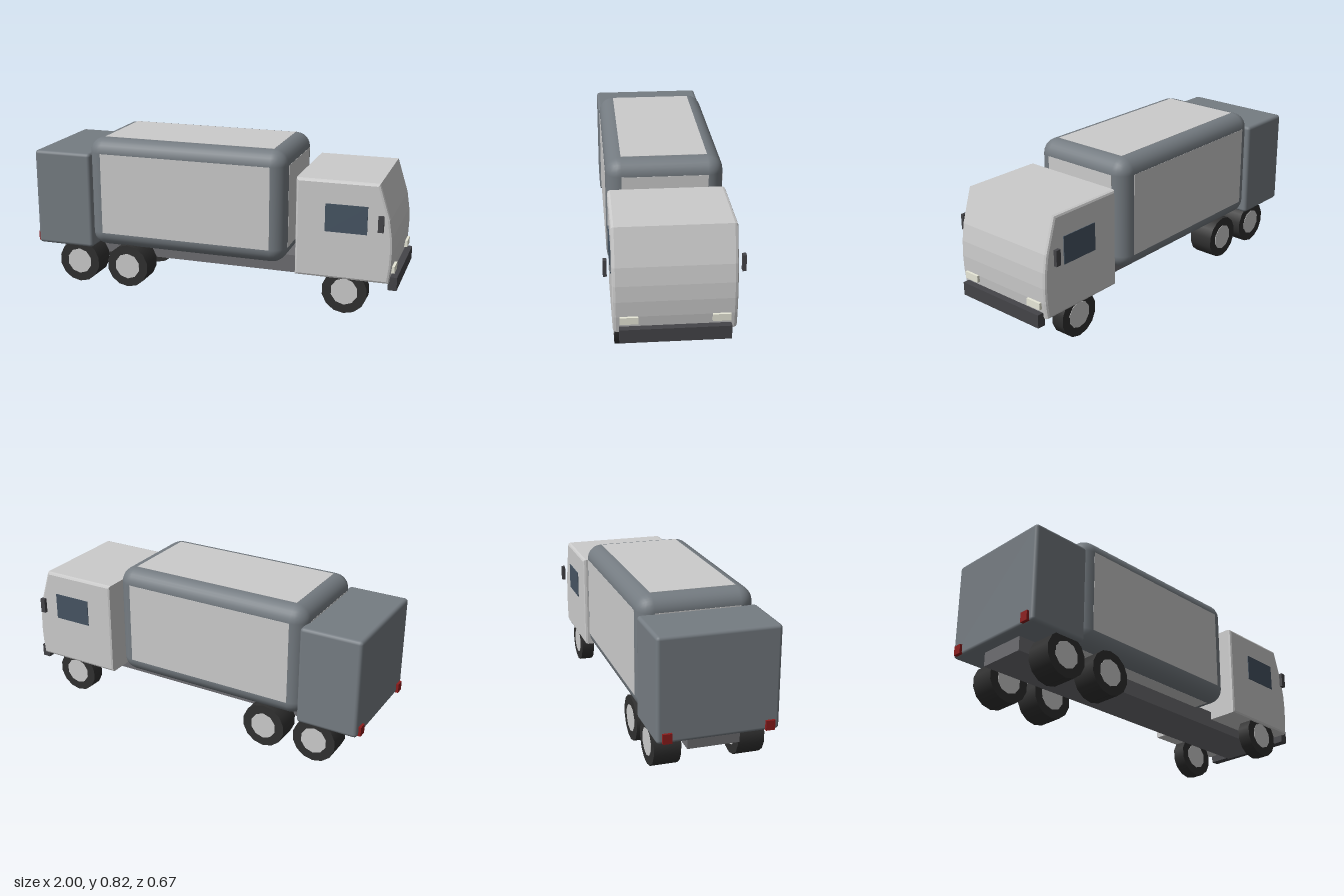
import * as THREE from 'three';
import { RoundedBoxGeometry } from 'three/addons/geometries/RoundedBoxGeometry.js';

const material = (color) => new THREE.MeshStandardMaterial({ color });

export function createModel() {
  const truck = new THREE.Group();
  truck.name = 'truck';

  const light = material(0xcccccc);
  const slate = material(0x757c82);
  const steel = material(0x6c6c70);
  const dark = material(0x444448);
  const rubber = material(0x303030);
  const glass = material(0x465462);
  const lamp = material(0xe8e8d8);
  const red = material(0x8c1c1c);

  function add(name, geometry, mat, x = 0, y = 0, z = 0) {
    const mesh = new THREE.Mesh(geometry, mat);
    mesh.name = name;
    mesh.position.set(x, y, z);
    truck.add(mesh);
    return mesh;
  }

  // Box given by its limits on each axis
  function box(name, mat, [x0, x1], [y0, y1], [z0, z1], radius = 0, segments = 3) {
    const size = [x1 - x0, y1 - y0, z1 - z0];
    const geometry = radius
      ? new RoundedBoxGeometry(...size, segments, radius)
      : new THREE.BoxGeometry(...size);
    return add(name, geometry, mat, (x0 + x1) / 2, (y0 + y1) / 2, (z0 + z1) / 2);
  }

  // The same box on the left and right of the truck
  function pair(name, mat, xs, ys, [z0, z1]) {
    box(name + 'Right', mat, xs, ys, [z0, z1]);
    box(name + 'Left', mat, xs, ys, [-z1, -z0]);
  }

  // Chassis
  box('chassis', steel, [-0.92, 0.95], [0.135, 0.23], [-0.132, 0.132]);

  // Cargo body with rounded edges and pale flat panels on every face
  const X = [-0.68, 0.42], Y = [0.22, 0.82], Z = [-0.298, 0.298];
  const inset = ([a, b]) => [a + 0.08, b - 0.08];
  const proud = ([a, b]) => [a - 0.001, b + 0.001];
  box('cargoBody', slate, X, Y, Z, 0.08);
  box('sidePanels', light, inset(X), inset(Y), proud(Z));
  box('topPanels', light, inset(X), proud(Y), inset(Z));
  box('endPanels', light, proud(X), inset(Y), inset(Z));

  // Rear loading hopper
  box('rearHopper', slate, [-0.987, -0.66], [0.21, 0.735], [-0.305, 0.305], 0.018, 2);

  // Cab: side profile extruded across the width with a small bevel
  const profile = new THREE.Shape([
    [0.476, 0.185], [0.961, 0.185], [0.972, 0.27], [0.975, 0.35],
    [0.971, 0.43], [0.957, 0.52], [0.9, 0.7], [0.476, 0.7],
  ].map(([x, y]) => new THREE.Vector2(x, y)));
  const cab = new THREE.ExtrudeGeometry(profile, {
    depth: 0.558, bevelEnabled: true, bevelThickness: 0.015,
    bevelSize: 0.013, bevelOffset: -0.013, bevelSegments: 2,
  });
  add('cab', cab, light, 0, 0, -0.279);

  // Cab fittings
  pair('sideWindow', glass, [0.63, 0.845], [0.435, 0.58], [0.28, 0.298]);
  pair('mirror', dark, [0.903, 0.931], [0.465, 0.547], [0.315, 0.333]);
  pair('headlight', lamp, [0.95, 0.985], [0.236, 0.272], [0.175, 0.262]);
  box('frontBumper', dark, [0.955, 1], [0.146, 0.216], [-0.265, 0.265]);

  // Tail lights
  pair('tailLight', red, [-1, -0.98], [0.215, 0.265], [0.232, 0.278]);

  // Wheels: single at the front, wide at the back
  const radius = 0.118;
  for (const [axle, x, inner] of [['front', 0.737, 0.21], ['middle', -0.465, 0.145], ['rear', -0.753, 0.145]]) {
    for (const side of [1, -1]) {
      const label = axle + (side > 0 ? 'Right' : 'Left');
      const width = 0.282 - inner;
      const tyre = new THREE.CylinderGeometry(radius, radius, width, 14).rotateX(Math.PI / 2);
      add(label + 'Tyre', tyre, rubber, x, radius, side * (inner + width / 2));
      const hub = new THREE.CylinderGeometry(0.071, 0.071, width + 0.004, 10).rotateX(Math.PI / 2);
      add(label + 'Hub', hub, light, x, radius, side * (inner + width / 2));
    }
  }

  return truck;
}
